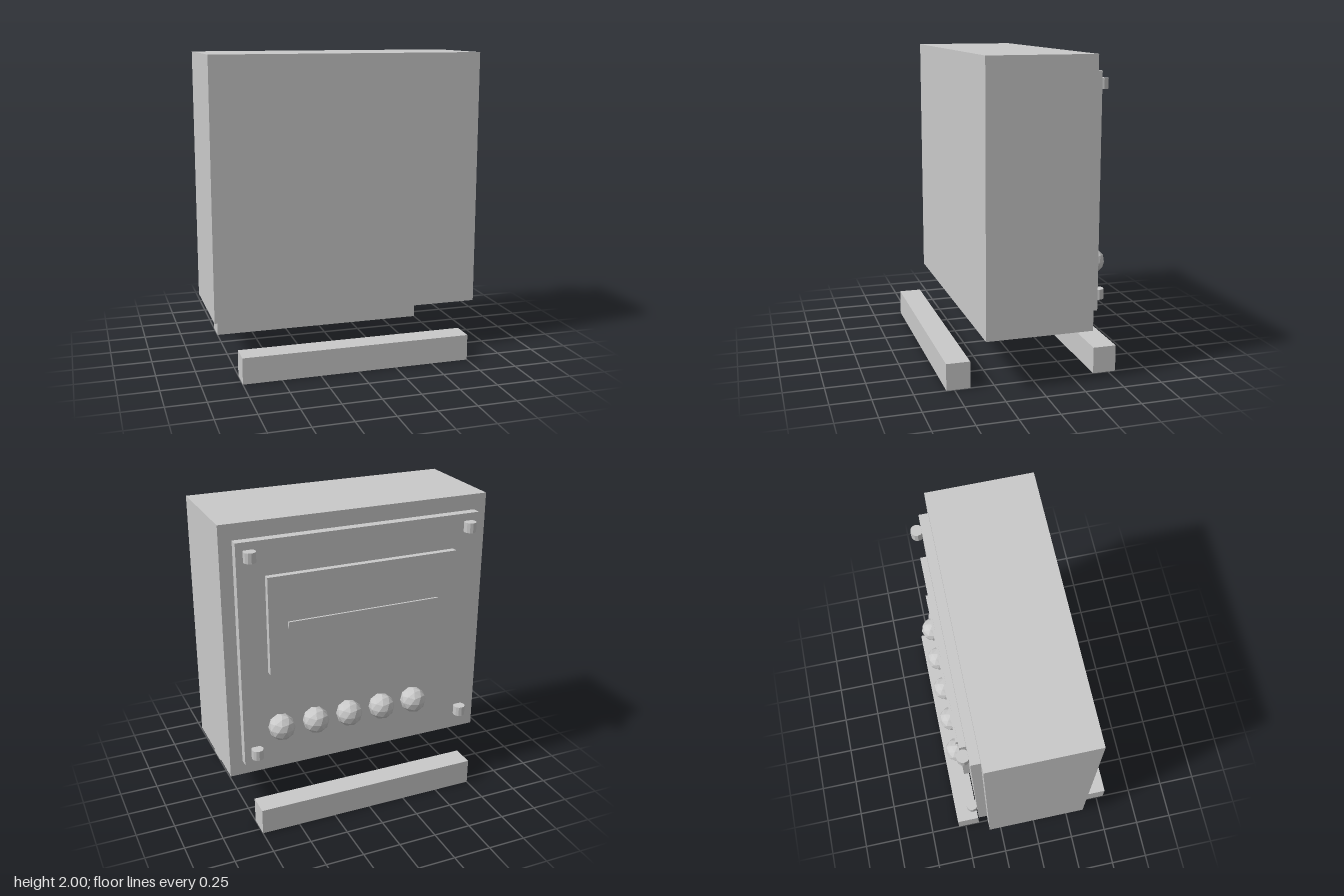
import * as THREE from 'three';

export function createModel() {
  const model = new THREE.Group();
  model.name = 'controlBox';
  const grey = new THREE.MeshStandardMaterial({ color: 0xc9c9c9 });
  grey.name = 'light grey';
  grey.flatShading = true;

  const add = (name, geometry, x, y, z) => {
    const mesh = new THREE.Mesh(geometry, grey);
    mesh.name = name;
    mesh.position.set(x, y, z);
    model.add(mesh);
    return mesh;
  };
  // Box centred on x, given its width and its y and z ranges
  const addBox = (name, width, y0, y1, z0, z1) =>
    add(name, new THREE.BoxGeometry(width, y1 - y0, z1 - z0), 0, (y0 + y1) / 2, (z0 + z1) / 2);

  // Cabinet, with layered panels on its back
  addBox('cabinet', 1.764, 0.335, 2, -0.338, 0.338);
  addBox('backPanel', 1.6, 0.433, 1.9, -0.397, -0.33);
  addBox('display', 1.254, 1.053, 1.681, -0.438, -0.39);
  addBox('displaySlot', 1.01, 1.345, 1.387, -0.452, -0.43);

  // Floating skids in front of and behind the cabinet
  addBox('frontSkid', 1.5, 0, 0.17, 0.4, 0.55);
  addBox('backSkid', 1.5, 0, 0.17, -0.55, -0.4);

  // Upright corner pegs
  const peg = new THREE.CylinderGeometry(0.039, 0.039, 0.064, 12);
  for (const x of [-0.725, 0.725]) {
    for (const y of [0.519, 1.82]) add('cornerPeg', peg, x, y, -0.426);
  }

  // Row of faceted knobs, each with a vertex pointing up
  const knob = new THREE.IcosahedronGeometry(0.085, 1);
  knob.rotateZ(-Math.atan(2 / (1 + Math.sqrt(5))));
  for (let i = 0; i < 5; i++) add('knob', knob, -0.355 + i * 0.23, 0.684, -0.445);

  return model;
}
